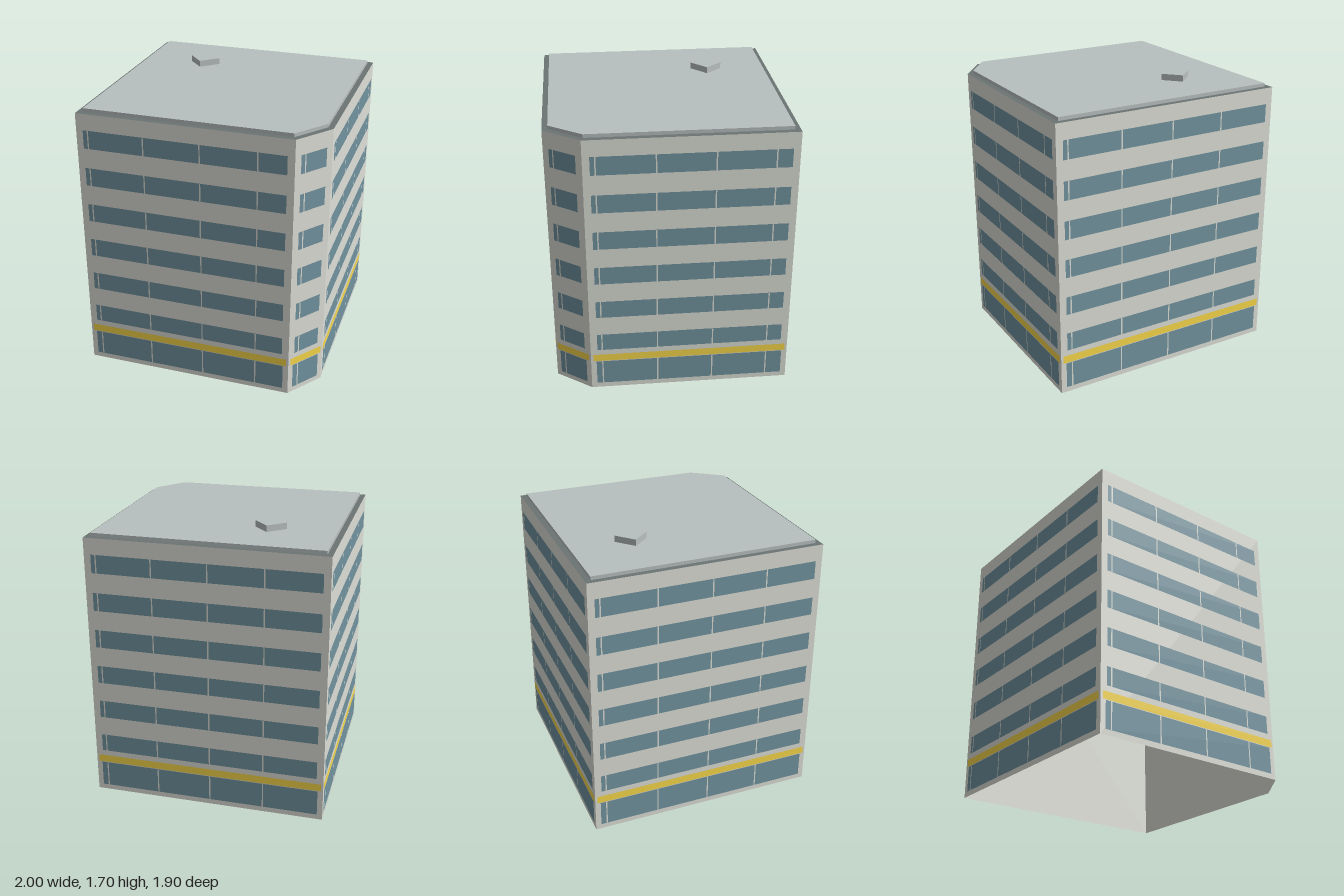
import * as THREE from 'three';

const mat = (color) => new THREE.MeshStandardMaterial({ color, side: THREE.DoubleSide });
const wallMat = mat(0xdddfd7);
const glassMat = mat(0x7294a0);
const bandMat = mat(0xf8d84a);
const roofMat = mat(0xb8bfbf);
const edgeMat = mat(0x6b7373);
const wallTop = 1.642;

// Footprint corners (x, z), running left to right as seen from outside
const corners = [[-1, 0.1], [-0.06, 0.95], [0.195, 0.9], [1, 0.02], [-0.05, -0.95]]
  .map(([x, z]) => new THREE.Vector2(x, z));

// Moves every side of the footprint inward by d
function inset(points, d) {
  const n = points.length;
  return points.map((p, i) => {
    const a = p.clone().sub(points[(i + n - 1) % n]).normalize();
    const b = points[(i + 1) % n].clone().sub(p).normalize();
    const na = new THREE.Vector2(a.y, -a.x);
    const nb = new THREE.Vector2(b.y, -b.x);
    return na.add(nb).multiplyScalar(d / (1 + a.dot(b))).add(p);
  });
}

const flatShape = (points) => new THREE.Shape(points.map((p) => new THREE.Vector2(p.x, -p.y)));

// Lays a shape geometry flat at height y
function lay(name, geo, y, material) {
  geo.rotateX(-Math.PI / 2);
  const mesh = new THREE.Mesh(geo, material);
  mesh.position.y = y;
  mesh.name = name;
  return mesh;
}

// Flat panel on a facade, from x0 to x1 along it and z in front of the wall
function panel(name, x0, x1, y0, y1, z, material) {
  const mesh = new THREE.Mesh(new THREE.PlaneGeometry(x1 - x0, y1 - y0), material);
  mesh.position.set((x0 + x1) / 2, (y0 + y1) / 2, z);
  mesh.name = name;
  return mesh;
}

function facade(a, b) {
  const group = new THREE.Group();
  group.name = 'facade';
  const d = b.clone().sub(a);
  const length = d.length();
  group.position.set(a.x, 0, a.y);
  group.rotation.y = Math.atan2(-d.y, d.x);
  group.add(panel('wall', 0, length, 0, wallTop, 0, wallMat));

  // Window strip divided by evenly spaced mullions
  const strip = (name, margin, y0, y1) => {
    group.add(panel(name, margin, length - margin, y0, y1, 0.0015, glassMat));
    for (let s = 0.07; s < length - margin - 0.02; s += 0.331) {
      group.add(panel('mullion', s - 0.004, s + 0.004, y0, y1, 0.003, wallMat));
    }
  };
  strip('groundWindow', 0.033, 0.032, 0.192);
  for (let i = 0; i < 6; i++) strip('windowStrip', 0.041, 0.276 + i * 0.2315, 0.387 + i * 0.2315);

  group.add(panel('yellowBand', 0.014, length - 0.014, 0.196, 0.242, 0.0015, bandMat));
  return group;
}

export function createModel() {
  const model = new THREE.Group();
  model.name = 'officeBlock';

  // Walls with windows and band on every side; the shell is open underneath
  corners.forEach((p, i) => model.add(facade(p, corners[(i + 1) % corners.length])));

  // Dark roof edge and raised roof slab
  const slabShape = flatShape(inset(corners, 0.033));
  const edgeShape = flatShape(corners);
  edgeShape.holes.push(slabShape);
  model.add(lay('roofEdge', new THREE.ShapeGeometry(edgeShape), wallTop, edgeMat));
  const slabGeo = new THREE.ExtrudeGeometry(slabShape, { depth: 0.021, bevelEnabled: false });
  model.add(lay('roofSlab', slabGeo, wallTop, roofMat));

  // Rooftop unit
  const unit = new THREE.Mesh(new THREE.BoxGeometry(0.136, 0.038, 0.13), roofMat);
  unit.position.set(-0.007, 1.682, -0.37);
  unit.name = 'rooftopUnit';
  model.add(unit);

  return model;
}
